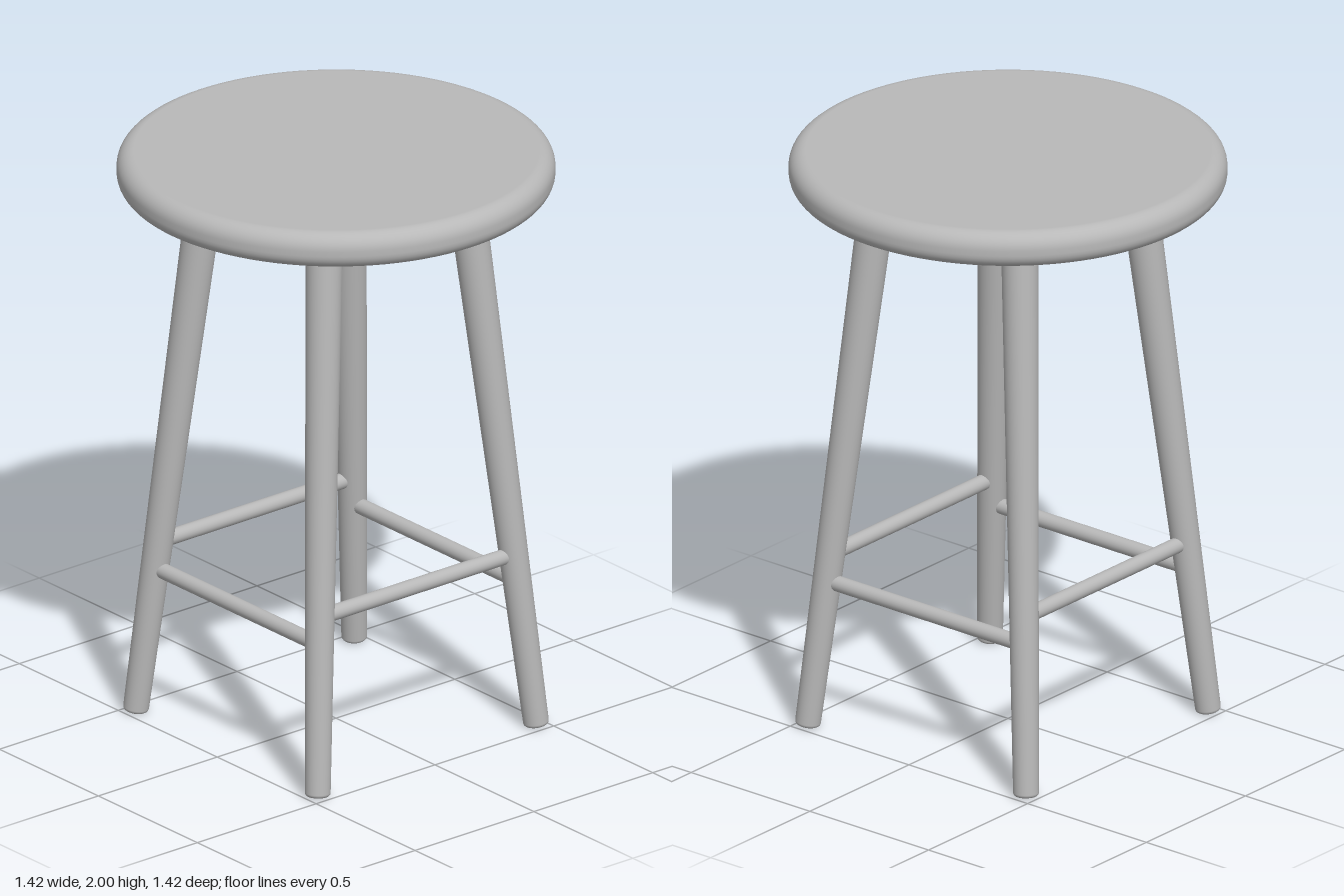
import * as THREE from 'three';

const grey = new THREE.MeshStandardMaterial({ color: 0xb8b8b8 });
grey.name = 'plain grey';

// Lathe outline of a round solid: rounded bottom and/or top edges.
function roundedProfile(bottomR, topR, y0, y1, bottomRound, topRound, steps) {
  const pts = [new THREE.Vector2(0, y0)];
  const corner = (r, y, round, start) => {
    for (let i = 0; i <= steps; i++) {
      const a = start + (i / steps) * Math.PI / 2;
      pts.push(new THREE.Vector2(r - round + round * Math.cos(a), y + round * Math.sin(a)));
    }
  };
  corner(bottomR, y0 + bottomRound, bottomRound, -Math.PI / 2);
  corner(topR, y1 - topRound, topRound, 0);
  pts.push(new THREE.Vector2(0, y1));
  return pts;
}

// Mesh whose local y axis runs from one point to another.
function between(name, geometry, from, to) {
  const mesh = new THREE.Mesh(geometry, grey);
  mesh.name = name;
  mesh.position.copy(from);
  const dir = to.clone().sub(from).normalize();
  mesh.quaternion.setFromUnitVectors(new THREE.Vector3(0, 1, 0), dir);
  return mesh;
}

export function createModel() {
  const model = new THREE.Group();
  model.name = 'stool';

  // Round seat with softened edges
  const seat = new THREE.Mesh(
    new THREE.LatheGeometry(roundedProfile(0.71, 0.71, 1.878, 2, 0.05, 0.055, 8), 96), grey);
  seat.name = 'seat';
  model.add(seat);

  // Four splayed, tapering legs
  const foot = 0.46, head = 0.295, footY = 0.007, headY = 1.89;
  const legLength = Math.hypot(foot - head, foot - head, headY - footY);
  const legGeometry = new THREE.LatheGeometry(
    roundedProfile(0.042, 0.061, 0, legLength, 0.012, 0.001, 4), 32);
  for (const [sx, side] of [[1, 'Left'], [-1, 'Right']]) {
    for (const [sz, end] of [[1, 'front'], [-1, 'back']]) {
      model.add(between(`${end}${side}Leg`, legGeometry,
        new THREE.Vector3(sx * foot, footY, sz * foot),
        new THREE.Vector3(sx * head, headY, sz * head)));
    }
  }

  // Rungs: the front and back pair sits higher than the side pair
  const legAt = y => foot + (head - foot) * (y - footY) / (headY - footY);
  const rung = (name, y, place) => {
    const d = legAt(y);
    const geometry = new THREE.CylinderGeometry(0.026, 0.026, 2 * d, 24);
    geometry.translate(0, d, 0);
    model.add(between(name, geometry, place(-d, y, d), place(d, y, d)));
  };
  for (const s of [1, -1]) {
    rung(s > 0 ? 'frontRung' : 'backRung', 0.604, (t, y, d) => new THREE.Vector3(t, y, s * d));
    rung(s > 0 ? 'leftRung' : 'rightRung', 0.512, (t, y, d) => new THREE.Vector3(s * d, y, t));
  }

  return model;
}
